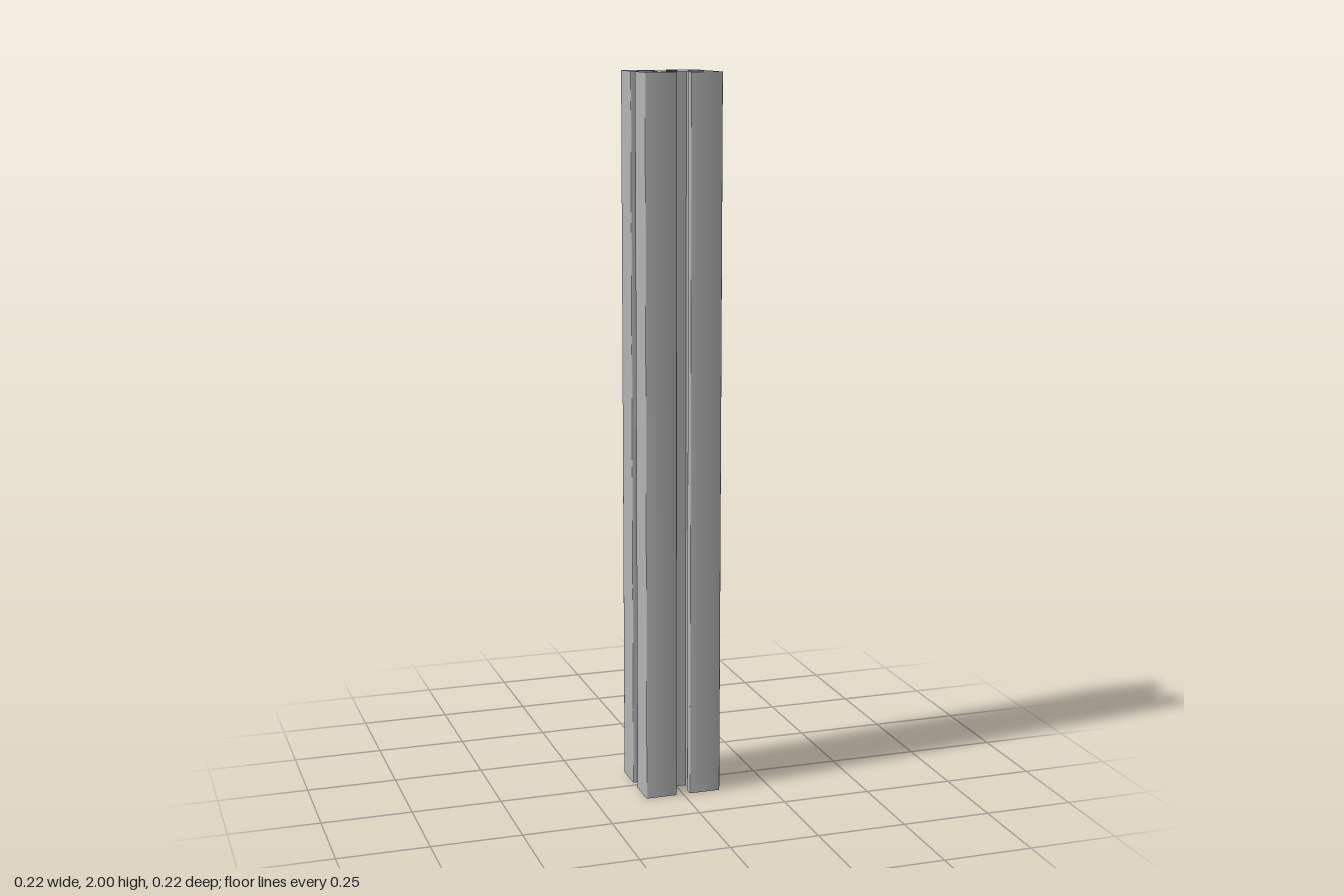
import * as THREE from 'three';
import { toCreasedNormals } from 'three/addons/utils/BufferGeometryUtils.js';

const HEIGHT = 2;
const HALF = 0.108;    // half width of the bar
const SLOT = 0.019;    // half width of the slot mouth
const LIP = 0.083;     // inner face of the slot lips
const CORE = 0.0455;   // half width of the centre block
const WEB = 0.027;     // where the diagonal web meets the centre block
const HOLE = 0.019;
const SMALL = 0.003;   // edge fillet
const POCKET = 0.0064; // fillet at the end of the undercut

// Replace a corner by a circular arc tangent to both neighbouring edges
function fillet(prev, corner, next, radius) {
  if (!radius) return [corner];
  const a = prev.clone().sub(corner).normalize();
  const b = next.clone().sub(corner).normalize();
  const half = Math.acos(a.dot(b)) / 2;
  const centre = a.clone().add(b).normalize().multiplyScalar(radius / Math.sin(half)).add(corner);
  const start = a.multiplyScalar(radius / Math.tan(half)).add(corner).sub(centre);
  const sweep = (Math.PI - 2 * half) * Math.sign(
    corner.clone().sub(prev).cross(next.clone().sub(corner)));
  const steps = Math.ceil(Math.abs(sweep) / (Math.PI / 8) - 0.01);
  const points = [];
  for (let i = 0; i <= steps; i++) {
    points.push(start.clone().rotateAround(new THREE.Vector2(), sweep * i / steps).add(centre));
  }
  return points;
}

// One T-slot side as [x, y, fillet radius]; the four sides close the outline
function slotProfile() {
  const right = [
    [SLOT, HALF, SMALL],
    [SLOT, LIP, SMALL],
    [WEB + LIP - CORE, LIP, POCKET],
    [WEB, CORE, 0],
  ];
  const left = right.map(([x, y, r]) => [-x, y, r]).reverse();
  return [[HALF, HALF, SMALL], ...right, ...left];
}

function createCrossSection() {
  const corners = [];
  for (let side = 0; side < 4; side++) {
    for (const [x, y, r] of slotProfile()) {
      const p = new THREE.Vector2(x, y).rotateAround(new THREE.Vector2(), side * Math.PI / 2);
      corners.push({ p, r });
    }
  }
  const n = corners.length;
  const outline = corners.flatMap(({ p, r }, i) =>
    fillet(corners[(i + n - 1) % n].p, p, corners[(i + 1) % n].p, r));
  const shape = new THREE.Shape(outline);

  // Round bore through the centre
  const bore = new THREE.Path();
  bore.absarc(0, 0, HOLE, 0, Math.PI * 2, true);
  shape.holes.push(bore);
  return shape;
}

export function createModel() {
  const group = new THREE.Group();
  group.name = 'slottedBar';

  const aluminium = new THREE.MeshStandardMaterial({ color: 0xb4b4b4 });
  aluminium.name = 'aluminium';

  // Extruded bar standing upright
  const geometry = new THREE.ExtrudeGeometry(createCrossSection(), {
    depth: HEIGHT, bevelEnabled: false, curveSegments: 16, steps: 1,
  });
  geometry.rotateX(-Math.PI / 2);
  const bar = new THREE.Mesh(toCreasedNormals(geometry, 0.5), aluminium);
  bar.name = 'extrudedProfile';
  group.add(bar);
  return group;
}
